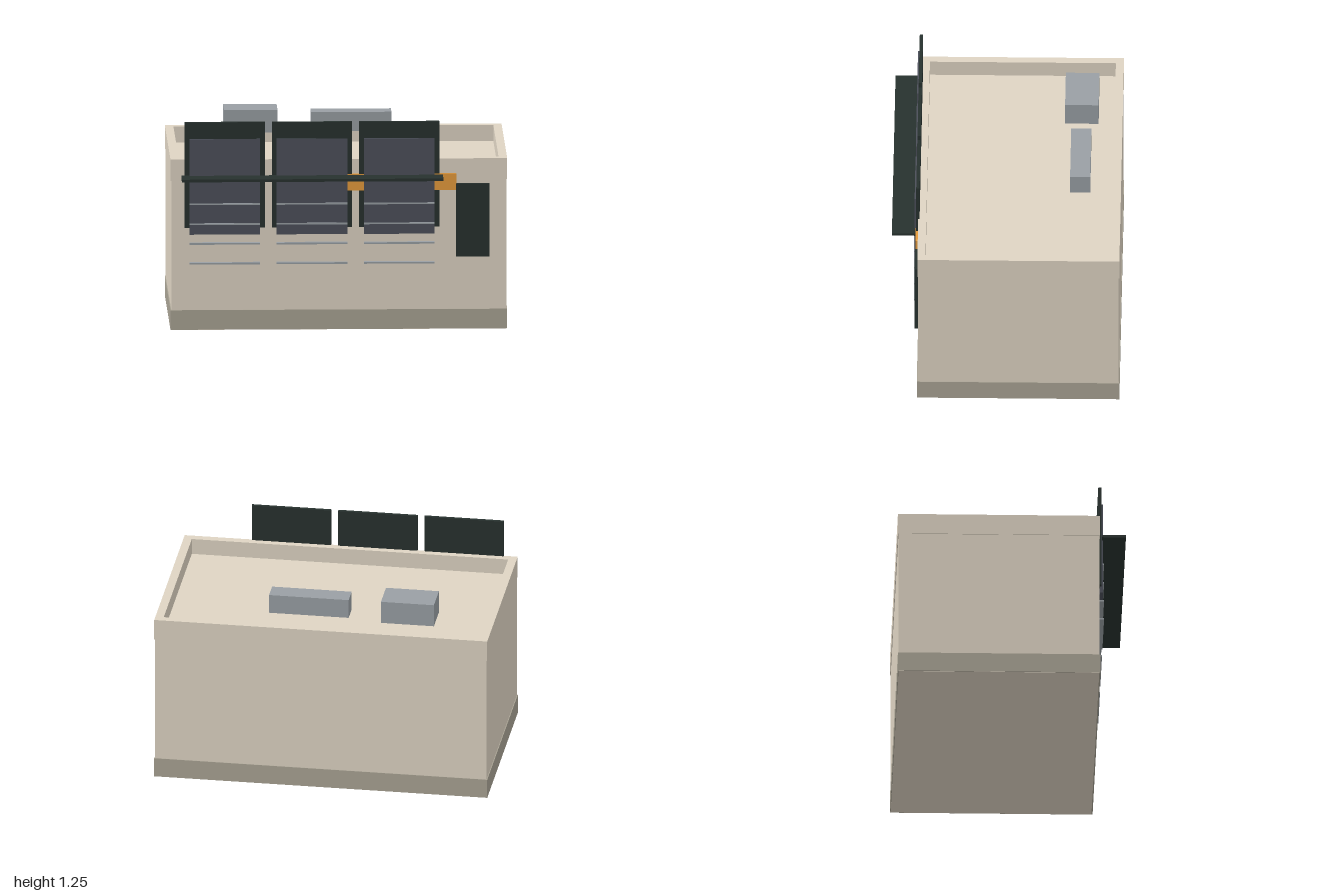
import * as THREE from 'three';

const mat = (name, color) => {
  const m = new THREE.MeshStandardMaterial({ color });
  m.name = name;
  return m;
};

export function createModel() {
  const wall = mat('warm stone', 0xded4c3);
  const plinthMat = mat('dark stone', 0xa9a394);
  const dark = mat('dark green metal', 0x27312e);
  const glass = mat('slate glass', 0x4c4f5a);
  const metal = mat('grey metal', 0x999fa4);
  const orange = mat('orange', 0xe69b3c);

  const model = new THREE.Group();
  model.name = 'storefront';

  // Box given by its minimum and maximum on each axis
  const box = (name, material, [x0, x1], [y0, y1], [z0, z1], parent = model) => {
    const mesh = new THREE.Mesh(new THREE.BoxGeometry(x1 - x0, y1 - y0, z1 - z0), material);
    mesh.position.set((x0 + x1) / 2, (y0 + y1) / 2, (z0 + z1) / 2);
    mesh.name = name;
    parent.add(mesh);
    return mesh;
  };

  // Building shell: the walls reach the ground, the plinth wraps their foot
  const back = -0.678, front = 0.522;
  box('plinth', plinthMat, [-1, 1], [0.002, 0.12], [back, front + 0.003]);
  box('walls', wall, [-0.995, 0.995], [0, 0.9], [back + 0.004, front - 0.004]);
  box('roof', wall, [-0.96, 0.96], [0.9, 0.93], [back + 0.04, front - 0.04]);

  // Parapet: a rectangular ring around the roof
  const rect = (target, x, z0, z1) => target
    .moveTo(-x, -z1).lineTo(x, -z1).lineTo(x, -z0).lineTo(-x, -z0).closePath();
  const ring = rect(new THREE.Shape(), 1, back, front);
  ring.holes.push(rect(new THREE.Path(), 0.95, back + 0.048, front - 0.048));
  const parapetGeo = new THREE.ExtrudeGeometry(ring, { depth: 0.127, bevelEnabled: false });
  parapetGeo.rotateX(-Math.PI / 2);
  const parapet = new THREE.Mesh(parapetGeo, wall);
  parapet.position.y = 0.9;
  parapet.name = 'parapet';
  model.add(parapet);

  // Rooftop units
  box('largeRoofUnit', metal, [-0.658, -0.34], [1.037, 1.175], [-0.536, -0.337]);
  box('longRoofUnit', metal, [-0.14, 0.338], [1.037, 1.153], [-0.496, -0.376]);

  // Three window bays with backing frame, pane and slats
  for (const x of [-0.678, -0.16, 0.358]) {
    const bay = new THREE.Group();
    bay.name = 'windowBay';
    model.add(bay);
    box('frame', dark, [x - 0.238, x + 0.238], [0.618, 1.253], [0.514, 0.534], bay);
    box('pane', glass, [x - 0.21, x + 0.21], [0.578, 1.153], [0.524, 0.544], bay);
    for (const y of [0.404, 0.523, 0.642, 0.762])
      box('slat', metal, [x - 0.21, x + 0.21], [y - 0.005, y + 0.005], [0.518, 0.549], bay);
  }

  // Sign band, side door and awning
  box('signBand', orange, [0, 0.697], [0.84, 0.938], [0.516, 0.538]);
  box('sideDoor', dark, [0.695, 0.895], [0.438, 0.878], [0.518, 0.54]);
  box('awning', dark, [-0.936, 0.617], [0.917, 0.933], [0.536, 0.678]);

  return model;
}
